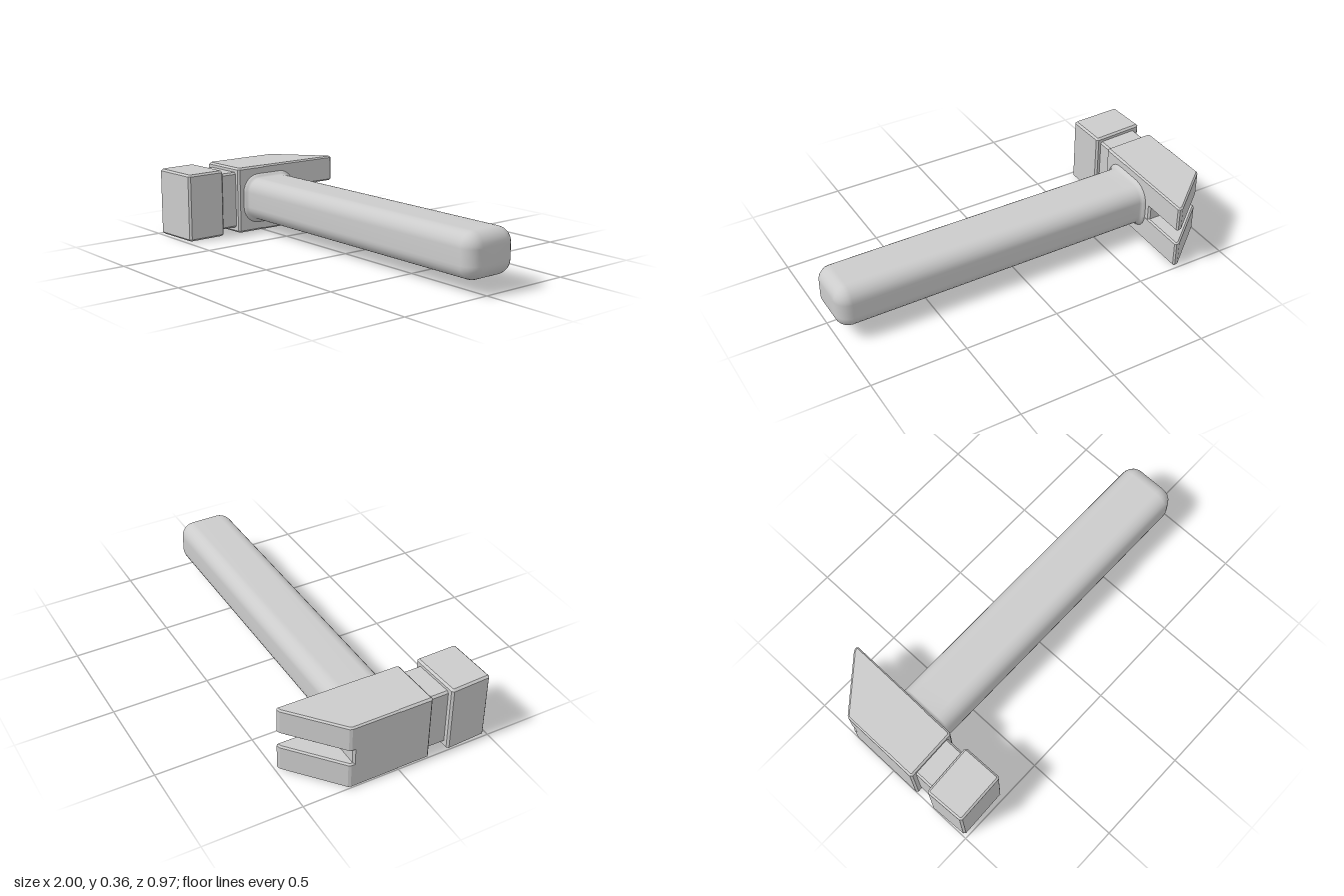
import * as THREE from 'three';

const material = new THREE.MeshStandardMaterial({ color: 0xcccccc });
const smoothMaterial = material;

// Cuts each corner of a closed outline by the distance c.
function chamfer(points, c) {
  const out = [];
  points.forEach((p, i) => {
    const n = points.length;
    const v = new THREE.Vector2(...p);
    for (const q of [points[(i + n - 1) % n], points[(i + 1) % n]]) {
      const d = new THREE.Vector2(...q).sub(v).setLength(c);
      out.push(v.clone().add(d));
    }
  });
  return out;
}

// Upright prism with bevelled edges from a plan outline of [x, z] points.
function prism(name, outline, y0, y1, bevel = 0.01) {
  const shape = new THREE.Shape(chamfer(outline.map(([x, z]) => [x, -z]), bevel));
  const geometry = new THREE.ExtrudeGeometry(shape, {
    depth: y1 - y0 - 2 * bevel, bevelEnabled: true, bevelSegments: 1,
    bevelSize: bevel, bevelThickness: bevel, bevelOffset: -bevel,
  });
  geometry.rotateX(-Math.PI / 2).translate(0, y0 + bevel, 0);
  const mesh = new THREE.Mesh(geometry, material);
  mesh.name = name;
  return mesh;
}

// Rounded-rectangle handle lofted along x, flared at the head, rounded at the end.
function makeHandle() {
  const halfY = 0.115, halfZ = 0.148, cy = 0.182, cz = -0.043;
  const corner = 0.075, endRadius = 0.07, steps = 6;
  const sections = [[-0.74, -0.022], [-0.717, -0.02], [-0.708, -0.008], [-0.695, 0], [-0.6, 0]];
  for (let i = 0; i <= 6; i++) {
    const a = (i / 6) * Math.PI / 2;
    sections.push([1 - endRadius + endRadius * Math.sin(a), endRadius * (1 - Math.cos(a))]);
  }

  const positions = [], indices = [];
  for (const [x, inset] of sections) {
    const r = Math.max(corner - inset, 0.005);
    for (let q = 0; q < 4; q++) {
      const sy = q === 0 || q === 3 ? 1 : -1;
      const sz = q < 2 ? 1 : -1;
      for (let k = 0; k <= steps; k++) {
        const a = (q + k / steps) * Math.PI / 2;
        positions.push(x,
          cy + sy * (halfY - inset - r) + r * Math.cos(a),
          cz + sz * (halfZ - inset - r) + r * Math.sin(a));
      }
    }
  }
  const n = 4 * (steps + 1);
  for (let i = 0; i < sections.length - 1; i++) {
    for (let j = 0; j < n; j++) {
      const a = i * n + j, b = i * n + (j + 1) % n;
      indices.push(a, b, b + n, a, b + n, a + n);
    }
  }
  // End cap
  const last = (sections.length - 1) * n;
  positions.push(1, cy, cz);
  for (let j = 0; j < n; j++) indices.push(sections.length * n, last + j, last + (j + 1) % n);

  const geometry = new THREE.BufferGeometry();
  geometry.setAttribute('position', new THREE.Float32BufferAttribute(positions, 3));
  geometry.setIndex(indices);
  geometry.computeVertexNormals();
  const mesh = new THREE.Mesh(geometry, smoothMaterial);
  mesh.name = 'handle';
  return mesh;
}

export function createModel() {
  const model = new THREE.Group();
  model.name = 'hammer';
  const head = new THREE.Group();
  head.name = 'head';

  // Striking block, slimmer neck and main body
  head.add(prism('strikingBlock',
    [[-0.99, 0.485], [-0.715, 0.475], [-0.72, 0.255], [-1, 0.27]], 0, 0.36));
  head.add(prism('neck',
    [[-0.97, 0.3], [-0.745, 0.3], [-0.745, 0.12], [-0.97, 0.12]], 0.028, 0.335));
  head.add(prism('body',
    [[-1, 0.168], [-0.718, 0.158], [-0.718, -0.245], [-1, -0.245]], 0, 0.36));

  // Two wedge prongs with the slot between them
  const wedge = [[-1, 0], [-0.718, 0], [-0.715, -0.485], [-0.738, -0.485], [-1, -0.262]];
  head.add(prism('lowerProng', wedge, 0, 0.145, 0.008));
  head.add(prism('upperProng', wedge, 0.22, 0.36, 0.008));

  model.add(head, makeHandle());
  return model;
}
